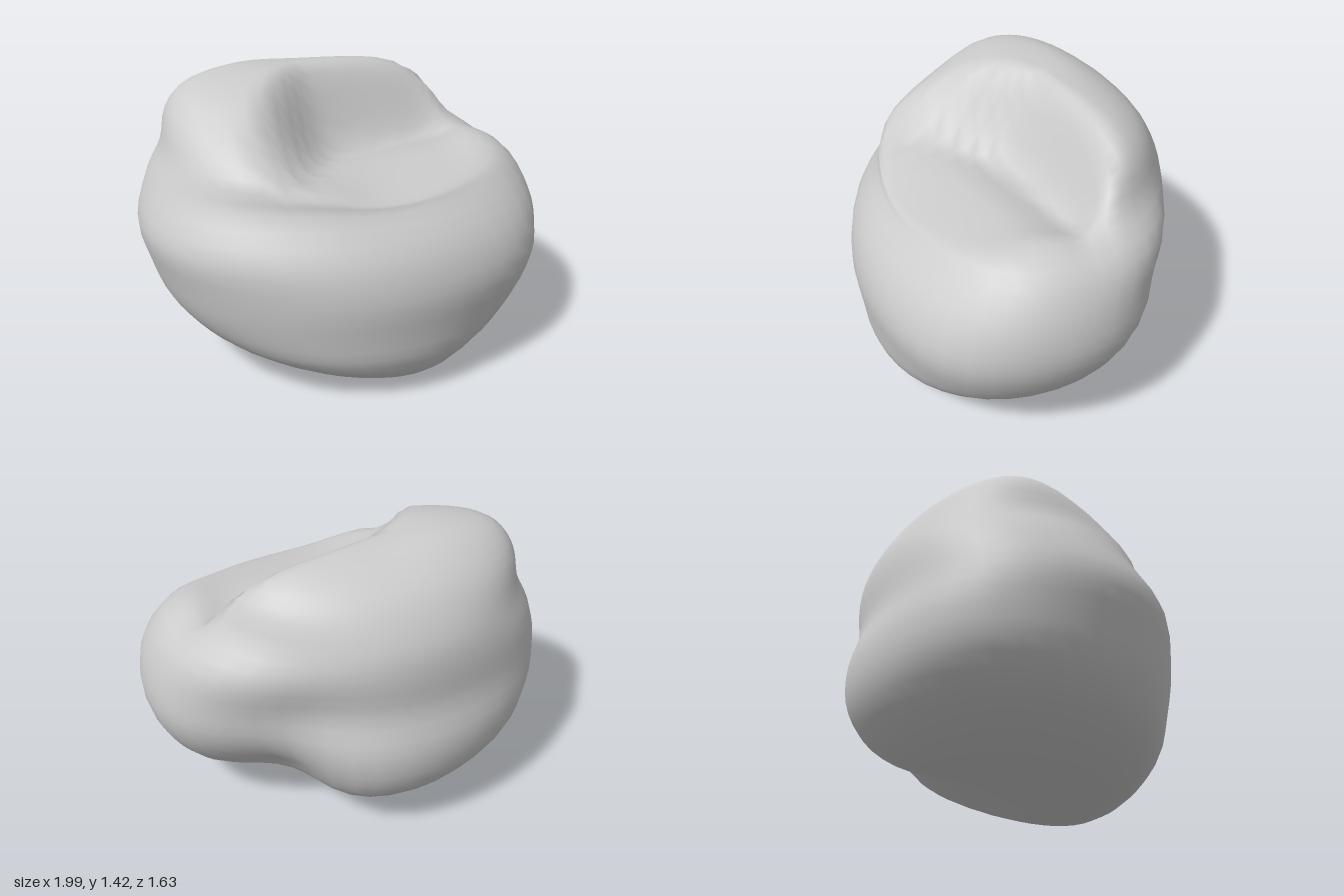
import * as THREE from 'three';
import { mergeVertices } from 'three/addons/utils/BufferGeometryUtils.js';

// Horizontal cross-sections, top to bottom: [y, centre x, centre z, radius x, radius z]
const rings = [
  [1.425, -0.15, -0.26, 0, 0],
  [1.42, -0.15, -0.25, 0.3, 0.13],
  [1.37, -0.12, -0.21, 0.57, 0.29],
  [1.26, -0.09, -0.17, 0.71, 0.47],
  [1.1, -0.06, -0.08, 0.79, 0.66],
  [0.95, -0.02, -0.07, 0.91, 0.7],
  [0.76, -0.01, 0, 0.99, 0.77],
  [0.57, 0.02, 0, 0.98, 0.82],
  [0.38, 0.02, 0, 0.91, 0.8],
  [0.22, 0.03, 0.04, 0.76, 0.73],
  [0.1, 0.06, 0.1, 0.5, 0.56],
  [0.07, 0.1, 0.15, 0.25, 0.28],
  [0.07, 0.1, 0.18, 0, 0],
];

// Broad side swellings and hollows: [x, y, z, width, amount]
const bumps = [
  [0.6, 0.34, -0.52, 0.38, -0.3],
  [0.42, 0.8, -0.62, 0.3, -0.07],
  [-0.65, 0.55, 0.6, 0.55, -0.055],
  [0.75, 0.5, 0.6, 0.35, 0.05],
  [0.75, 0.97, 0.3, 0.28, 0.07],
  [-0.75, 0.6, -0.6, 0.4, 0.04],
];

const { smoothstep } = THREE.MathUtils;
const gauss = (dx, dz, width) => Math.exp(-(dx * dx + dz * dz) / width ** 2);

// Height limit: a low front lobe, a bent valley, and a wall up to the rear hump
// that is steep on the left and eases into a long slope on the right
function heightLimit(x, z) {
  const d = -0.1 - x;
  const bend = 0.5 * (d + Math.sqrt(d * d + 0.02));
  const valley = -0.05 - 0.12 * Math.max(x, 0) + 1.3 * bend;
  const wall = 0.27 + 0.6 * bend;
  const ahead = z - valley;
  const rise = 0.35 * bend + 0.05 * smoothstep(x, 0.5, 0.8);
  const lobe = 0.98 + 0.05 * smoothstep(ahead, 0, 0.3) - 0.22 * z * z + rise;
  return lobe + 0.47 * smoothstep(-ahead, -0.06, wall);
}

// Minimum of two heights with a rounded crossover
function softMin(a, b, k) {
  const h = Math.max(k - Math.abs(a - b), 0) / k;
  return Math.min(a, b) - h * h * k * 0.25;
}

function createRockGeometry() {
  const centres = new THREE.CatmullRomCurve3(rings.map(([y, cx, cz]) => new THREE.Vector3(cx, y, cz)), false, 'catmullrom', 0.5);
  const radii = new THREE.CatmullRomCurve3(rings.map((r) => new THREE.Vector3(r[3], 0, r[4])), false, 'catmullrom', 0.5);
  const sphere = new THREE.SphereGeometry(1, 48, 36);
  const pos = sphere.attributes.position;
  const uv = sphere.attributes.uv;
  const power = 2.12;

  for (let i = 0; i < pos.count; i++) {
    const t = THREE.MathUtils.clamp(1 - uv.getY(i), 0, 1);
    const c = centres.getPoint(t);
    const r = radii.getPoint(t);
    const angle = Math.atan2(pos.getZ(i), pos.getX(i));
    const cos = Math.cos(angle), sin = Math.sin(angle);
    const k = (Math.abs(cos) ** power + Math.abs(sin) ** power) ** (-1 / power);
    let x = c.x + r.x * k * cos;
    let z = c.z + r.z * k * sin;
    let y = c.y;

    // Swell or hollow the sides
    let scale = 1;
    for (const [bx, by, bz, width, amount] of bumps) {
      const d2 = (x - bx) ** 2 + (y - by) ** 2 + (z - bz) ** 2;
      scale += amount * Math.exp(-d2 / width ** 2);
    }
    x *= scale;
    z *= scale;

    // Press in the top; below, drop a foot near the front and lift the left rear underside
    if (y > 0.7) {
      y = softMin(y, heightLimit(x, z), 0.12);
    } else {
      const low = Math.max(1 - y * 2, 0);
      y += low * (0.15 * gauss(x - 0.45, z + 0.3, 0.33) - 0.08 * gauss(x - 0.2, z - 0.46, 0.31));
    }
    pos.setXYZ(i, x, Math.max(y, 0), z);
  }

  // Weld the seam and poles so the shading is smooth all round
  sphere.deleteAttribute('normal');
  sphere.deleteAttribute('uv');
  const rock = mergeVertices(sphere, 1e-4);
  rock.computeVertexNormals();
  return rock;
}

export function createModel() {
  const group = new THREE.Group();
  group.name = 'boulder';
  const rock = new THREE.Mesh(createRockGeometry(), new THREE.MeshStandardMaterial({ color: 0xcccccc }));
  rock.name = 'rock';
  group.add(rock);
  return group;
}
